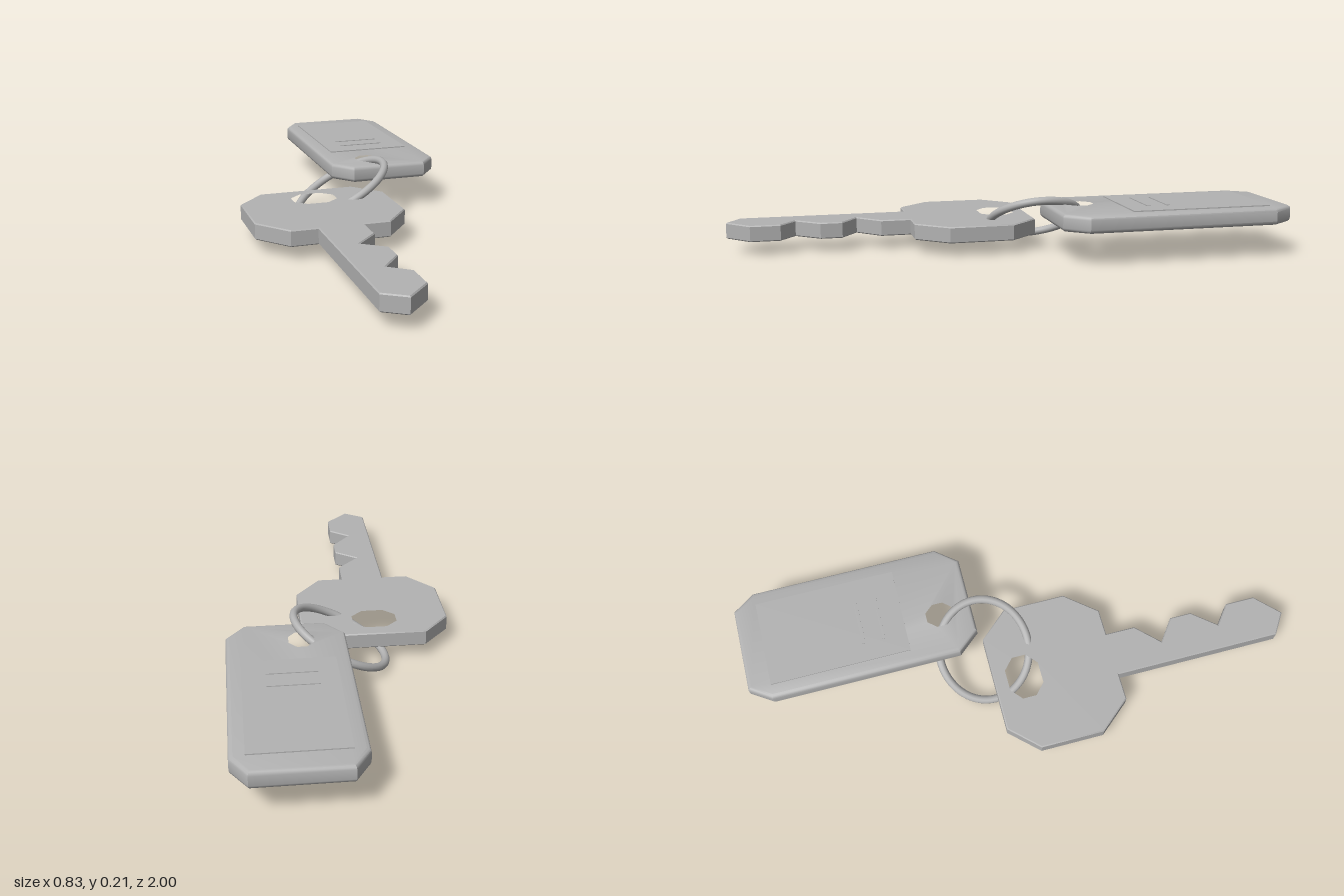
import * as THREE from 'three';
import { toCreasedNormals } from 'three/addons/utils/BufferGeometryUtils.js';

const grey = new THREE.MeshStandardMaterial({ color: 0xb2b2b2 });
grey.name = 'grey metal';

// Points are [x, z]; shape y is -z so that the extrusion can be laid flat
const toVectors = (points) => points.map(([x, z]) => new THREE.Vector2(x, -z));

// Rectangle with cut corners: cx/cz are the cut sizes
function octagon(x0, x1, z0, z1, cx, cz) {
  return [
    [x0 + cx, z0], [x1 - cx, z0], [x1, z0 + cz], [x1, z1 - cz],
    [x1 - cx, z1], [x0 + cx, z1], [x0, z1 - cz], [x0, z0 + cz],
  ];
}

// Flat plate between two heights, with an optional hole and rounded edges
function plate(name, outline, hole, y0, y1, bevel, segments) {
  const shape = new THREE.Shape(toVectors(outline));
  if (hole) shape.holes.push(new THREE.Path(toVectors(hole)));
  const extruded = new THREE.ExtrudeGeometry(shape, {
    depth: y1 - y0 - 2 * bevel,
    bevelEnabled: bevel > 0,
    bevelThickness: bevel,
    bevelSize: bevel,
    bevelOffset: -bevel,
    bevelSegments: segments,
  });
  extruded.rotateX(-Math.PI / 2).translate(0, y0 + bevel, 0);
  const mesh = new THREE.Mesh(toCreasedNormals(extruded, 0.6), grey);
  mesh.name = name;
  return mesh;
}

function box(name, x0, x1, y0, y1, z0, z1) {
  const mesh = new THREE.Mesh(new THREE.BoxGeometry(x1 - x0, y1 - y0, z1 - z0), grey);
  mesh.position.set((x0 + x1) / 2, (y0 + y1) / 2, (z0 + z1) / 2);
  mesh.name = name;
  return mesh;
}

export function createModel() {
  const model = new THREE.Group();
  model.name = 'keyWithTag';

  // Key: cut-cornered bow and toothed blade as one outline
  const keyOutline = [
    [-0.32, -0.125], [0.04, -0.125], [0.135, -0.02], [0.135, 0.215], [0.04, 0.33],
    [-0.058, 0.33], [-0.058, 0.44], [-0.14, 0.523], [-0.058, 0.583], [-0.058, 0.663],
    [-0.13, 0.75], [-0.058, 0.806], [-0.058, 0.915], [-0.145, 1.0], [-0.222, 0.95],
    [-0.222, 0.33], [-0.32, 0.33], [-0.418, 0.215], [-0.418, -0.02],
  ];
  const keyHole = octagon(-0.227, -0.055, -0.08, 0.055, 0.045, 0.04);
  model.add(plate('key', keyOutline, keyHole, 0.052, 0.112, 0.004, 1));

  // Tag: rounded plate with a raised label and two raised lines
  const tag = new THREE.Group();
  tag.name = 'tag';
  const tagOutline = [
    [0.045, -1], [0.36, -1], [0.415, -0.92], [0.415, -0.22],
    [0.35, -0.14], [0.06, -0.14], [-0.008, -0.22], [-0.008, -0.92],
  ];
  const tagHole = octagon(0.092, 0.21, -0.325, -0.195, 0.035, 0.04);
  tag.add(plate('tagPlate', tagOutline, tagHole, 0.12, 0.182, 0.014, 3));
  tag.add(box('label', 0.042, 0.365, 0.178, 0.186, -0.915, -0.395));
  for (const z of [-0.555, -0.48]) {
    tag.add(box('labelLine', 0.11, 0.285, 0.184, 0.189, z - 0.006, z + 0.006));
  }
  model.add(tag);

  // Tilted, slightly oval split ring through both holes
  const ringPoints = [];
  for (let i = 0; i < 32; i++) {
    const a = (i / 32) * Math.PI * 2;
    ringPoints.push(new THREE.Vector3(0.168 * Math.cos(a), 0.092 * Math.cos(a), 0.168 * Math.sin(a)));
  }
  const ringCurve = new THREE.CatmullRomCurve3(ringPoints, true);
  const ring = new THREE.Mesh(new THREE.TubeGeometry(ringCurve, 64, 0.015, 12, true), grey);
  ring.position.set(0, 0.108, -0.13);
  ring.name = 'ring';
  model.add(ring);

  return model;
}
